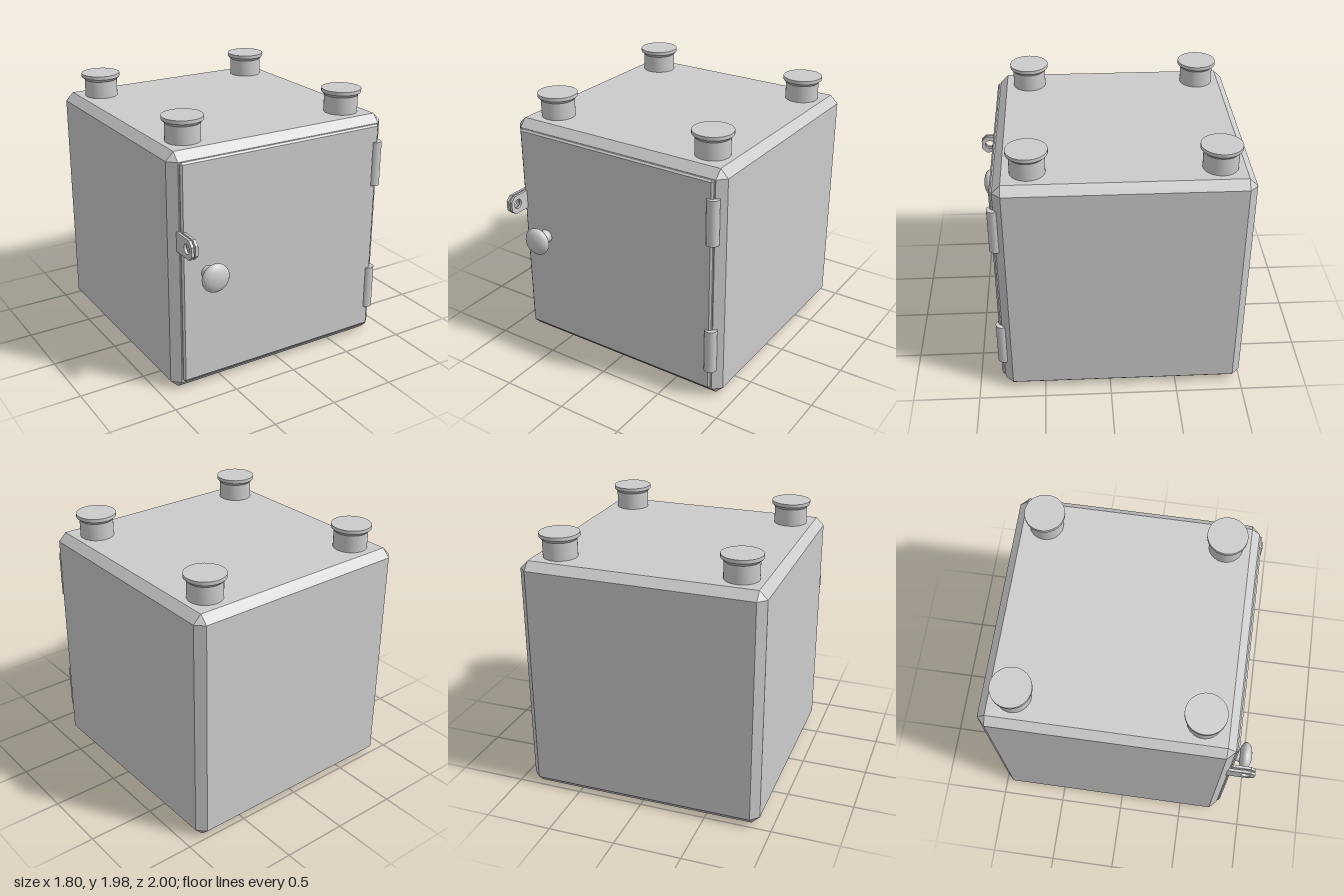
import * as THREE from 'three';
import { toCreasedNormals } from 'three/addons/utils/BufferGeometryUtils.js';
import { ConvexGeometry } from 'three/addons/geometries/ConvexGeometry.js';

const material = new THREE.MeshStandardMaterial({ color: 0xcccccc });

// Box with every edge cut at 45 degrees and triangular corners
function chamferBox(w, h, d, c) {
  const points = [];
  for (const sx of [-1, 1]) for (const sy of [-1, 1]) for (const sz of [-1, 1]) {
    for (const [a, b, e] of [[0, c, c], [c, 0, c], [c, c, 0]]) {
      points.push(new THREE.Vector3(sx * (w / 2 - a), sy * (h / 2 - b), sz * (d / 2 - e)));
    }
  }
  return new ConvexGeometry(points);
}

// Turned part from [radius, height] pairs
function turned(profile, sides) {
  const lathe = new THREE.LatheGeometry(profile.map(([r, y]) => new THREE.Vector2(r, y)), sides);
  return toCreasedNormals(lathe, 0.5);
}

export function createModel() {
  const model = new THREE.Group();
  const add = (name, geometry, x, y, z) => {
    const mesh = new THREE.Mesh(geometry, material);
    mesh.name = name;
    mesh.position.set(x, y, z);
    model.add(mesh);
    return mesh;
  };

  // Cabinet and door panel
  add('cabinet', chamferBox(1.8, 1.8, 1.805, 0.06), 0, 0.9, -0.0975);
  add('door', chamferBox(1.665, 1.665, 0.05, 0.013), 0, 0.905, 0.803);

  // Four flanged posts on the roof
  const post = turned([[0.125, 0], [0.125, 0.13], [0.13, 0.135], [0.147, 0.152], [0.147, 0.178], [0, 0.178]], 40);
  for (const x of [-0.67, 0.67]) for (const z of [-0.765, 0.565]) {
    add('roofPost', post, x, 1.8, z);
  }

  // Hinge barrels
  const barrel = new THREE.CylinderGeometry(0.046, 0.046, 0.342, 24);
  add('lowerHinge', barrel, 0.825, 0.405, 0.805);
  add('upperHinge', barrel, 0.825, 1.432, 0.805);

  // Door knob: neck and flattened head
  const neck = turned([[0.05, 0], [0.05, 0.08], [0.06, 0.1]], 24);
  add('knobNeck', neck, -0.635, 0.905, 0.81).rotation.x = Math.PI / 2;
  const head = new THREE.SphereGeometry(0.107, 24, 14);
  add('knobHead', head, -0.635, 0.905, 0.938).scale.z = 0.48;

  // Pair of padlock tabs, outline drawn in the z-y plane
  const tab = new THREE.Shape([
    [0.76, 1.1], [0.963, 1.1], [1, 1.137], [1, 1.208], [0.963, 1.245], [0.76, 1.245],
  ].map(([z, y]) => new THREE.Vector2(z, y)));
  tab.holes.push(new THREE.Path().absarc(0.933, 1.174, 0.037, 0, Math.PI * 2, true));
  const tabGeometry = new THREE.ExtrudeGeometry(tab, { depth: 0.02, bevelEnabled: false, curveSegments: 16 });
  tabGeometry.rotateY(-Math.PI / 2);
  add('outerLockTab', tabGeometry, -0.835, 0, 0);
  add('innerLockTab', tabGeometry, -0.804, 0, 0);

  return model;
}
